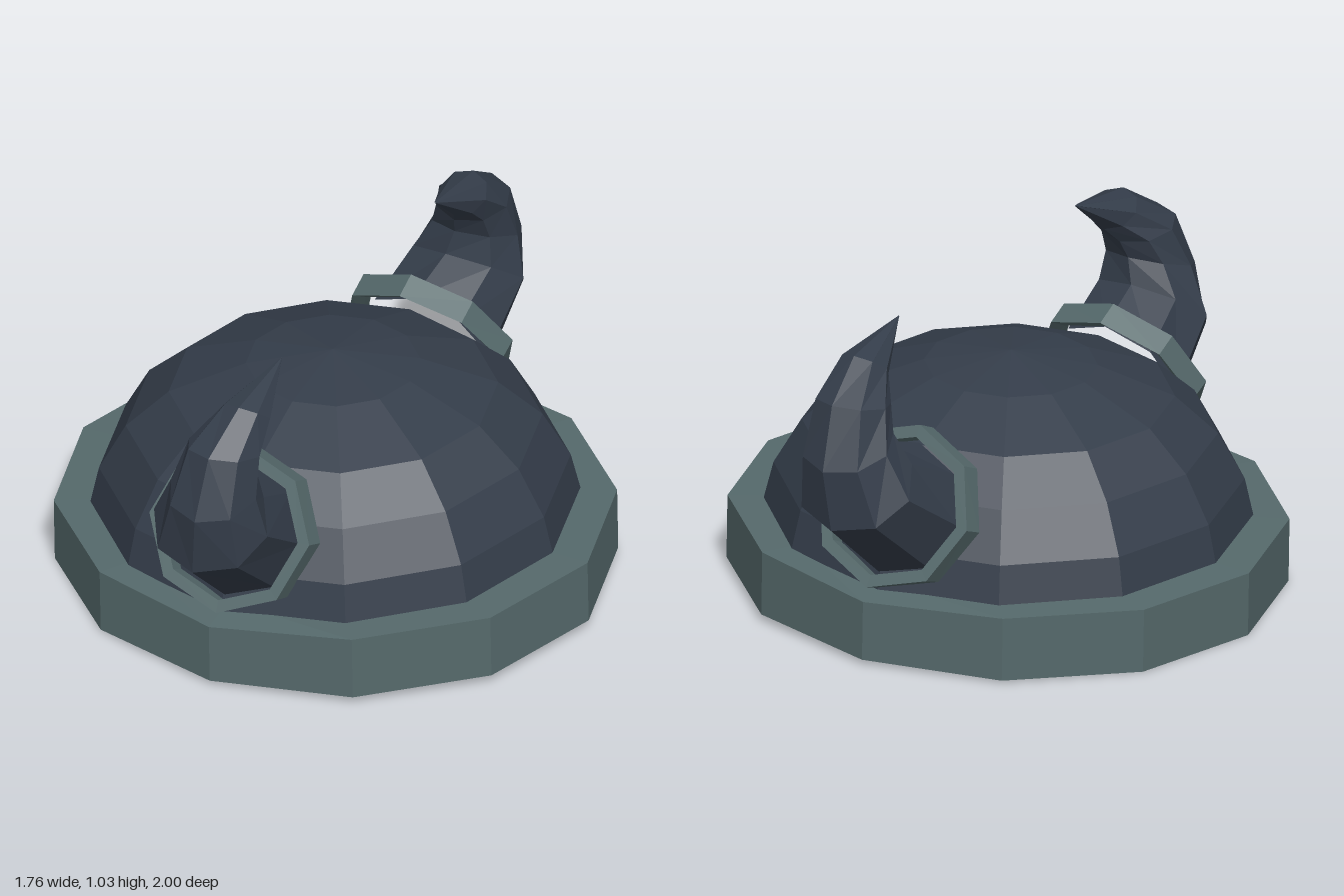
import * as THREE from 'three';

// Faceted look: separate faces with their own normals
function flat(geometry) {
  const g = geometry.index ? geometry.toNonIndexed() : geometry;
  g.computeVertexNormals();
  return g;
}

// Skin over eight-sided sections: [centre x, half width, outer z, outer y, inner z, inner y].
// side = -1 mirrors to the back.
function loft(sections, side, roll) {
  const n = 8, positions = [], index = [];
  for (const [cx, rx, zo, yo, zi, yi] of sections) {
    for (let i = 0; i < n; i++) {
      const a = (i / n) * Math.PI * 2 + roll;
      const k = Math.cos(a) / 2;
      positions.push(
        cx + rx * Math.sin(a),
        (yo + yi) / 2 + k * (yo - yi),
        side * ((zo + zi) / 2 + k * (zo - zi))
      );
    }
  }
  for (let s = 0; s < sections.length - 1; s++) {
    for (let i = 0; i < n; i++) {
      const a = s * n + i, b = s * n + ((i + 1) % n), c = a + n, d = b + n;
      if (side > 0) index.push(a, b, c, b, d, c);
      else index.push(a, c, b, b, c, d);
    }
  }
  const g = new THREE.BufferGeometry();
  g.setAttribute('position', new THREE.Float32BufferAttribute(positions, 3));
  g.setIndex(index);
  return flat(g);
}

function lathe(points) {
  return new THREE.LatheGeometry(points.map(([r, y]) => new THREE.Vector2(r, y)), 12);
}

export function createModel() {
  const model = new THREE.Group();
  model.name = 'hornedHelmet';

  const dark = new THREE.MeshStandardMaterial({ color: 0x343d4a });
  dark.name = 'darkSlate';
  const teal = new THREE.MeshStandardMaterial({ color: 0x55696b });
  teal.name = 'greyTeal';

  const add = (name, geometry, material, parent = model) => {
    const mesh = new THREE.Mesh(geometry, material);
    mesh.name = name;
    parent.add(mesh);
    return mesh;
  };

  // Cap and brim lean slightly to one side
  const cap = new THREE.Group();
  cap.name = 'cap';
  cap.rotation.z = 0.018;
  model.add(cap);

  const dome = lathe([[0.765, 0.2], [0.73, 0.35], [0.645, 0.5], [0.51, 0.62], [0.27, 0.715], [0, 0.757]]);
  dome.scale(1, 1, 0.985);
  add('dome', flat(dome), dark, cap);

  // Brim dips a little below each horn
  const brim = lathe([[0, 0.017], [0.88, 0.017], [0.88, 0.226], [0.74, 0.23]]);
  brim.scale(1, 1, 0.945);
  const p = brim.attributes.position;
  for (let i = 0; i < p.count; i++) {
    if (Math.abs(p.getZ(i)) > 0.8 && p.getY(i) > 0.1) p.setY(i, p.getY(i) - 0.014);
  }
  add('brim', flat(brim), teal, cap);

  // Collar: outside, front rim, inside, back
  const collar = [
    [-0.015, 0.275, 0.73, 0.22, 0.477, 0.676],
    [-0.015, 0.275, 0.80, 0.247, 0.552, 0.713],
    [-0.015, 0.235, 0.78, 0.282, 0.571, 0.678],
    [-0.015, 0.235, 0.727, 0.254, 0.518, 0.65],
    [-0.015, 0.275, 0.73, 0.22, 0.477, 0.676],
  ];

  // Horn curving out, up and back over the cap to a point
  const horn = [
    [-0.01, 0.21, 0.71, 0.255, 0.53, 0.64],
    [0.01, 0.195, 0.98, 0.50, 0.71, 0.71],
    [0.03, 0.145, 1.0, 0.70, 0.727, 0.79],
    [0.042, 0.12, 0.93, 0.895, 0.70, 0.85],
    [0.065, 0.08, 0.77, 1.0, 0.65, 0.905],
    [0.075, 0.002, 0.503, 1.036, 0.505, 1.032],
  ];

  for (const [name, side] of [['front', 1], ['back', -1]]) {
    add(name + 'HornCollar', loft(collar, side, 0.07), teal);
    add(name + 'Horn', loft(horn, side, 0.04), dark);
  }
  return model;
}
